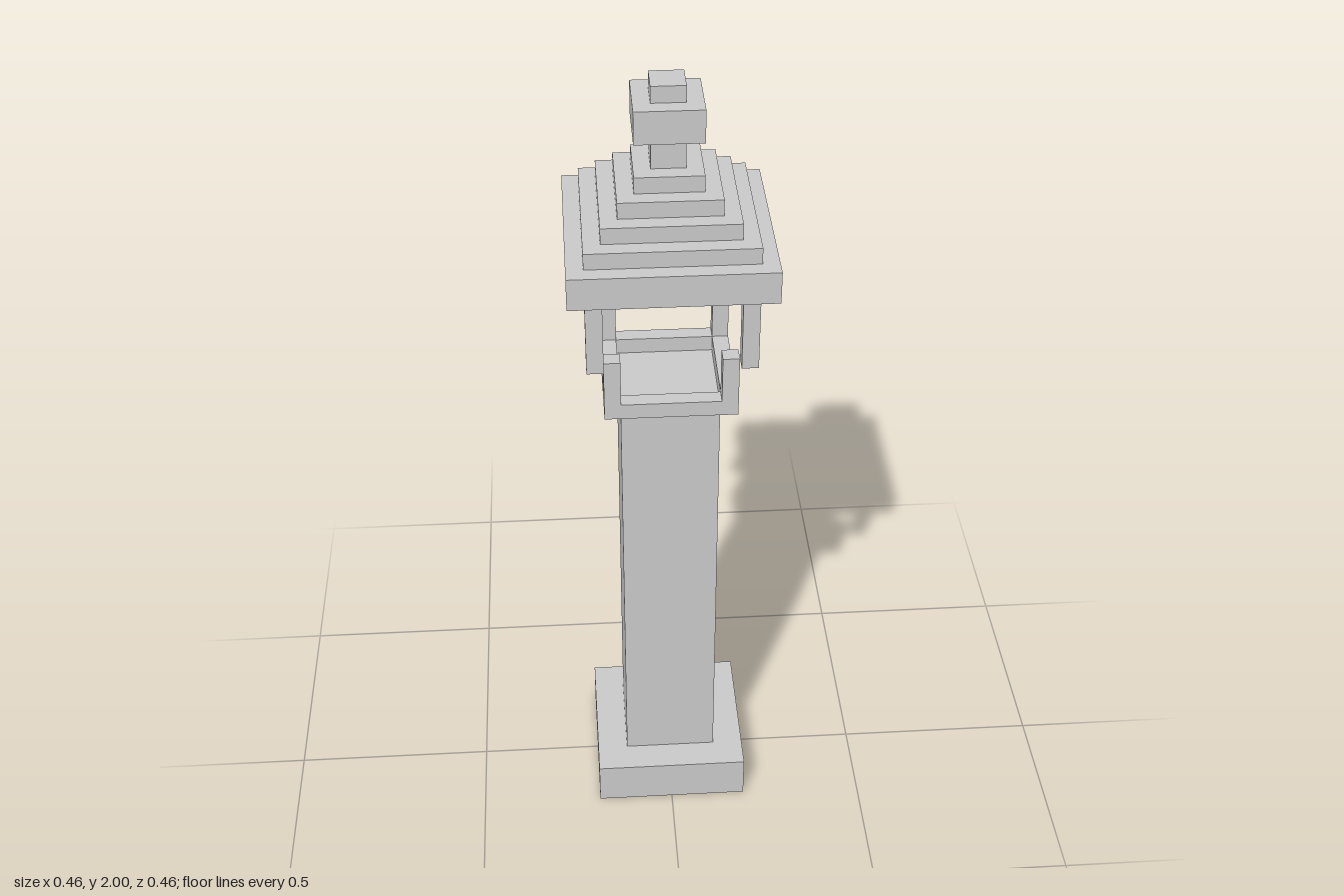
import * as THREE from 'three';

// The whole lantern is laid out on a cubic grid, 52 units tall
const U = 2 / 52;

export function createModel() {
  const model = new THREE.Group();
  const material = new THREE.MeshStandardMaterial({ color: 0xcccccc, flatShading: true });

  const add = (name, geometry, x, y, z) => {
    const mesh = new THREE.Mesh(geometry, material);
    mesh.name = name;
    mesh.position.set(x, y, z);
    model.add(mesh);
    return mesh;
  };

  // Centred square block, given its half width and its bottom and top in grid units
  const block = (name, half, y0, y1, x = 0, z = 0) =>
    add(name, new THREE.BoxGeometry(2 * half * U, (y1 - y0) * U, 2 * half * U),
      x * U, (y0 + y1) / 2 * U, z * U);

  // Plinth and column
  block('base', 5, 0, 3);
  block('column', 3, 3, 32);

  // Square rim around the column top
  const square = (path, h) => path.moveTo(-h, -h).lineTo(h, -h).lineTo(h, h).lineTo(-h, h).closePath();
  const rimShape = square(new THREE.Shape(), 4 * U);
  rimShape.holes.push(square(new THREE.Path(), 3 * U));
  const rimGeometry = new THREE.ExtrudeGeometry(rimShape, { depth: U, bevelEnabled: false });
  rimGeometry.rotateX(-Math.PI / 2);
  add('rim', rimGeometry, 0, 32 * U, 0);

  // Corner posts, the upper ones stepped outwards
  for (const sx of [-1, 1]) {
    for (const sz of [-1, 1]) {
      block('lowerPost', 0.5, 33, 36, 3.5 * sx, 3.5 * sz);
      block('upperPost', 0.5, 36, 41, 4.5 * sx, 4.5 * sz);
    }
  }

  // Eaves and stepped roof
  block('eaves', 6, 41, 43);
  for (let i = 0; i < 4; i++) block('roofStep', 5 - i, 43 + i, 44 + i);

  // Finial
  block('finialNeck', 1, 47, 49);
  block('finialBlock', 2, 49, 51);
  block('finialTip', 1, 51, 52);

  return model;
}
